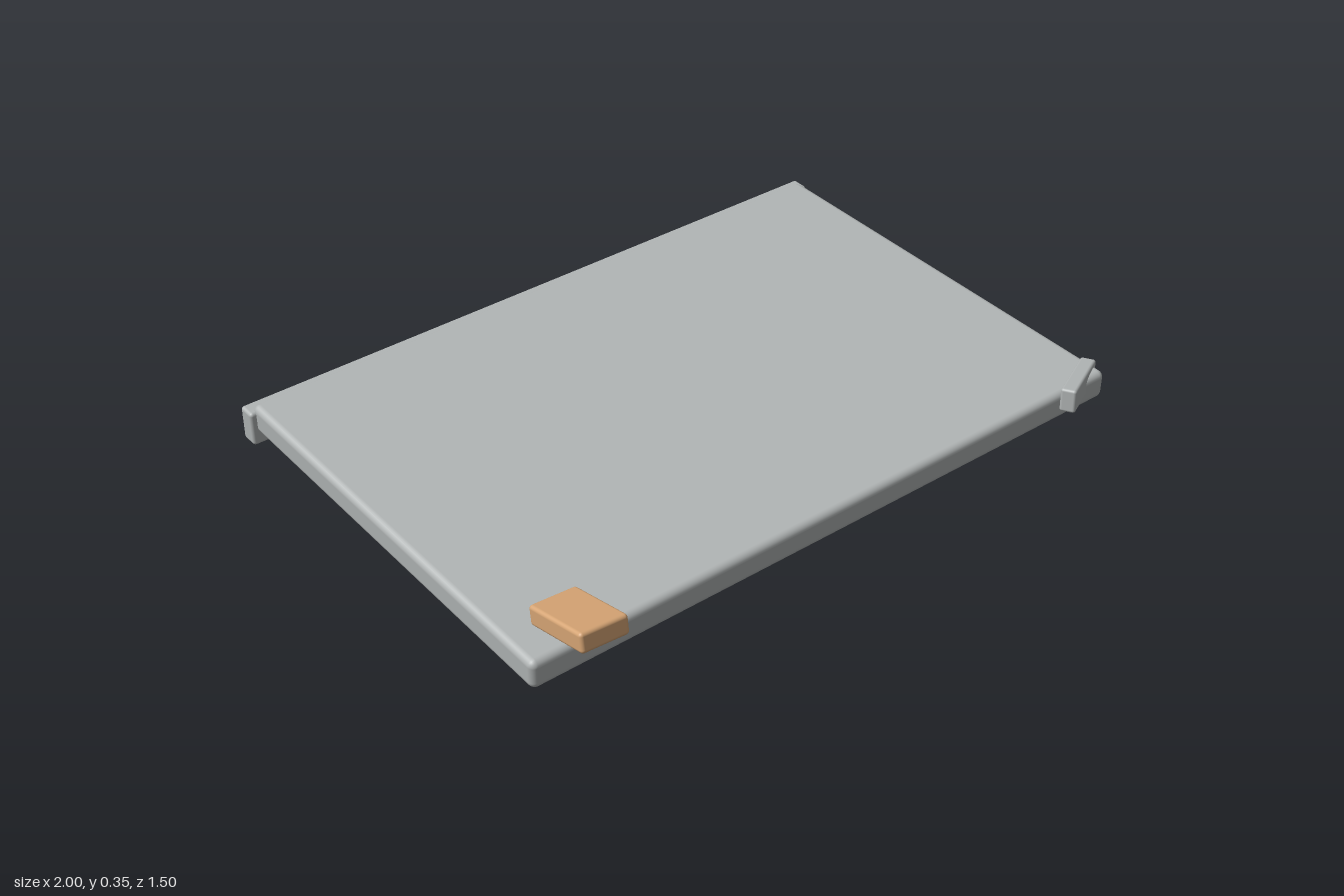
import * as THREE from 'three';
import { RoundedBoxGeometry } from 'three/addons/geometries/RoundedBoxGeometry.js';

export function createModel() {
  const model = new THREE.Group();
  model.name = 'tiltedPanel';

  const metal = new THREE.MeshStandardMaterial({ color: 0xb0b4b4 });
  metal.name = 'pale grey metal';
  const wood = new THREE.MeshStandardMaterial({ color: 0xd4a373 });
  wood.name = 'light wood';

  // Softly rounded block added to a parent
  function block(parent, name, size, radius, position, material) {
    const mesh = new THREE.Mesh(new RoundedBoxGeometry(...size, 3, radius), material);
    mesh.name = name;
    mesh.position.set(...position);
    parent.add(mesh);
    return mesh;
  }

  // Panel and its rear rail share one tilt: right and back edges raised
  const lid = new THREE.Group();
  lid.name = 'lid';
  lid.rotation.set(THREE.MathUtils.degToRad(6), 0, THREE.MathUtils.degToRad(4), 'ZYX');
  lid.position.set(0, 0.178, -0.055);
  model.add(lid);
  block(lid, 'panel', [1.96, 0.086, 1.32], 0.02, [0, 0, 0], metal);
  block(lid, 'rearRail', [1.995, 0.106, 0.056], 0.01, [0, -0.027, -0.665], metal);

  // Wooden grip at the front corner, nose slightly up
  const grip = block(model, 'grip', [0.14, 0.055, 0.215], 0.01, [-0.86, 0.185, 0.64], wood);
  grip.rotation.x = THREE.MathUtils.degToRad(-8);

  // Corner catch set diagonally across the other front corner
  const catchBlock = block(model, 'cornerCatch', [0.21, 0.07, 0.045], 0.008, [0.888, 0.2, 0.587], metal);
  catchBlock.rotation.y = THREE.MathUtils.degToRad(28);

  return model;
}
